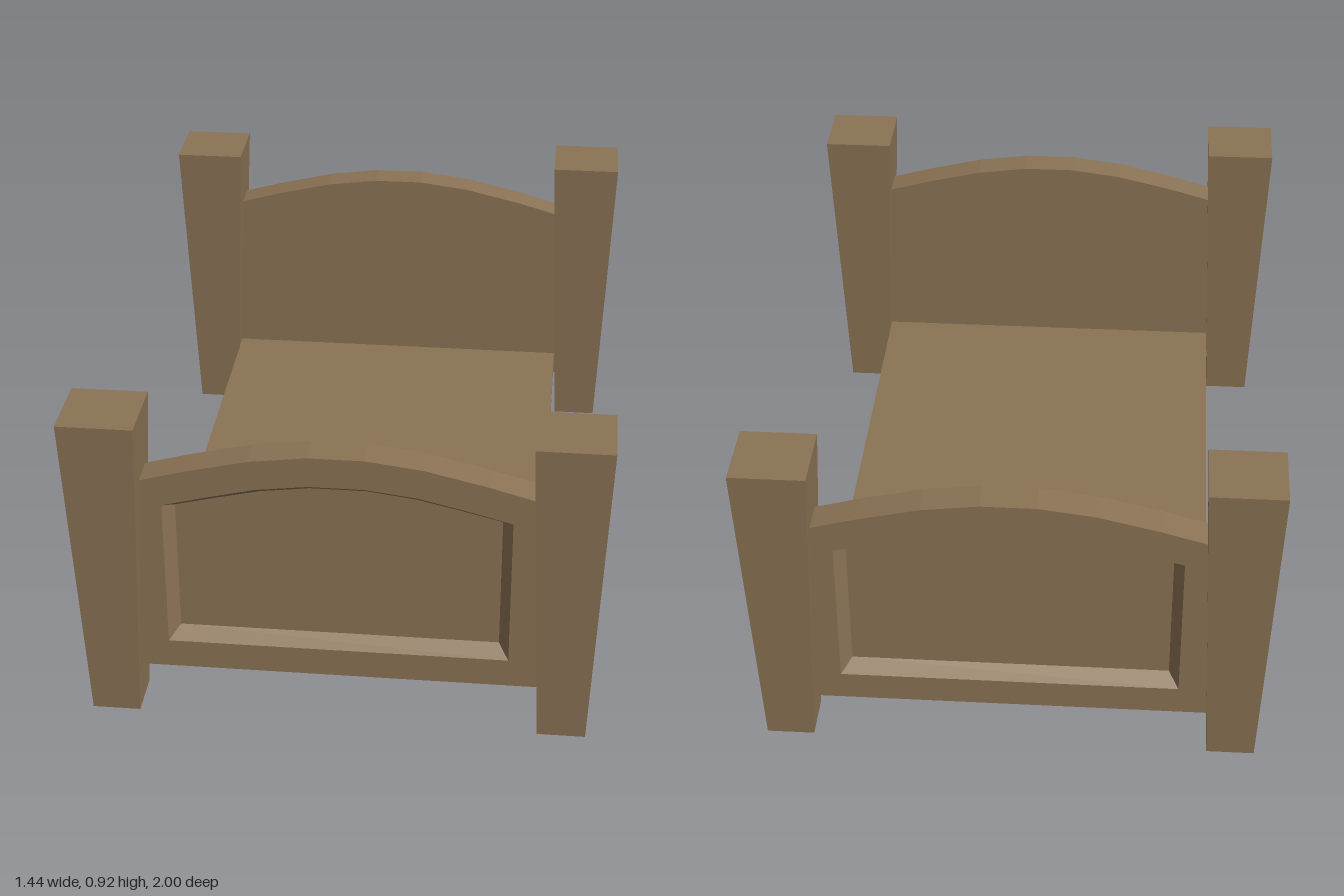
import * as THREE from 'three';
import { mergeGeometries } from 'three/addons/utils/BufferGeometryUtils.js';

const wood = new THREE.MeshStandardMaterial({ color: 0x8b7355, flatShading: true });

function addMesh(parent, name, geometry) {
  const mesh = new THREE.Mesh(geometry, wood);
  mesh.name = name;
  parent.add(mesh);
  return mesh;
}

// Counter-clockwise outline with a flat bottom and a faceted, mirrored arch on top
function archLoop(bottom, rightSide) {
  const right = rightSide.map(([x, y]) => new THREE.Vector2(x, y));
  const left = right.map(p => new THREE.Vector2(-p.x, p.y)).reverse();
  const w = right[0].x;
  return [new THREE.Vector2(-w, bottom), new THREE.Vector2(w, bottom), ...right, ...left];
}

// Flat face bounded by a loop, with an optional hole, at depth z
function face(loop, z, hole) {
  const shape = new THREE.Shape(loop);
  if (hole) shape.holes.push(new THREE.Path(hole));
  return new THREE.ShapeGeometry(shape).translate(0, 0, z).toNonIndexed();
}

// Band of quads joining loop a (rear) to loop b (front), facing outwards
function band(a, za, b, zb) {
  const pos = [], uv = [];
  a.forEach((p, i) => {
    const j = (i + 1) % a.length;
    const A = [p.x, p.y, za], B = [a[j].x, a[j].y, za];
    const C = [b[j].x, b[j].y, zb], D = [b[i].x, b[i].y, zb];
    pos.push(...A, ...B, ...C, ...A, ...C, ...D);
    uv.push(0, 0, 1, 0, 1, 1, 0, 0, 1, 1, 0, 1);
  });
  const g = new THREE.BufferGeometry();
  g.setAttribute('position', new THREE.Float32BufferAttribute(pos, 3));
  g.setAttribute('uv', new THREE.Float32BufferAttribute(uv, 2));
  g.computeVertexNormals();
  return g;
}

// Arched board with a bevelled recess on its outer (+z) face
function boardGeometry(thickness, depth) {
  const outer = archLoop(0.137, [[0.56, 0.72], [0.4, 0.765], [0.23, 0.805], [0.075, 0.825]]);
  const rim = archLoop(0.22, [[0.465, 0.657], [0.34, 0.69], [0.215, 0.72], [0.075, 0.738]]);
  const floor = archLoop(0.25, [[0.437, 0.637], [0.33, 0.664], [0.21, 0.692], [0.075, 0.71]]);
  const h = thickness / 2;
  return mergeGeometries([
    face(outer, h, rim),
    face(floor, h - depth),
    band(floor, h - depth, rim, h).scale(1, 1, 1),
    band(outer, -h, outer, h),
    face(outer, 0).rotateY(Math.PI).translate(0, 0, -h),
  ].map((g, i) => (i === 2 ? flip(g) : g)));
}

// Reverse the winding so that a band faces inwards
function flip(g) {
  const p = g.attributes.position;
  for (let i = 0; i < p.count; i += 3) {
    const b = [p.getX(i + 1), p.getY(i + 1), p.getZ(i + 1)];
    p.setXYZ(i + 1, p.getX(i + 2), p.getY(i + 2), p.getZ(i + 2));
    p.setXYZ(i + 2, ...b);
  }
  g.computeVertexNormals();
  return g;
}

// Square post, narrower at the foot
function postGeometry() {
  const height = 0.92, top = 0.205, foot = 0.132;
  const g = new THREE.BoxGeometry(top, height, top).translate(0, height / 2, 0);
  const p = g.attributes.position;
  for (let i = 0; i < p.count; i++) {
    if (p.getY(i) < 0.01) p.setXYZ(i, p.getX(i) * foot / top, 0, p.getZ(i) * foot / top);
  }
  g.computeVertexNormals();
  return g;
}

export function createModel() {
  const bed = new THREE.Group();
  bed.name = 'bed';

  // Four corner posts
  const post = postGeometry();
  for (const [side, x] of [['left', 0.617], ['right', -0.617]]) {
    for (const [end, z] of [['Front', 0.8975], ['Back', -0.8975]]) {
      addMesh(bed, side + end + 'Post', post).position.set(x, 0, z);
    }
  }

  // Matching boards at both ends, recesses facing outwards
  const board = boardGeometry(0.09, 0.04);
  addMesh(bed, 'footboard', board).position.z = 0.89;
  const head = addMesh(bed, 'headboard', board);
  head.position.z = -0.91;
  head.rotation.y = Math.PI;

  // Sleeping platform between the boards
  const platform = addMesh(bed, 'platform', new THREE.BoxGeometry(1.08, 0.073, 1.71));
  platform.position.set(0, 0.1735, -0.01);

  return bed;
}
